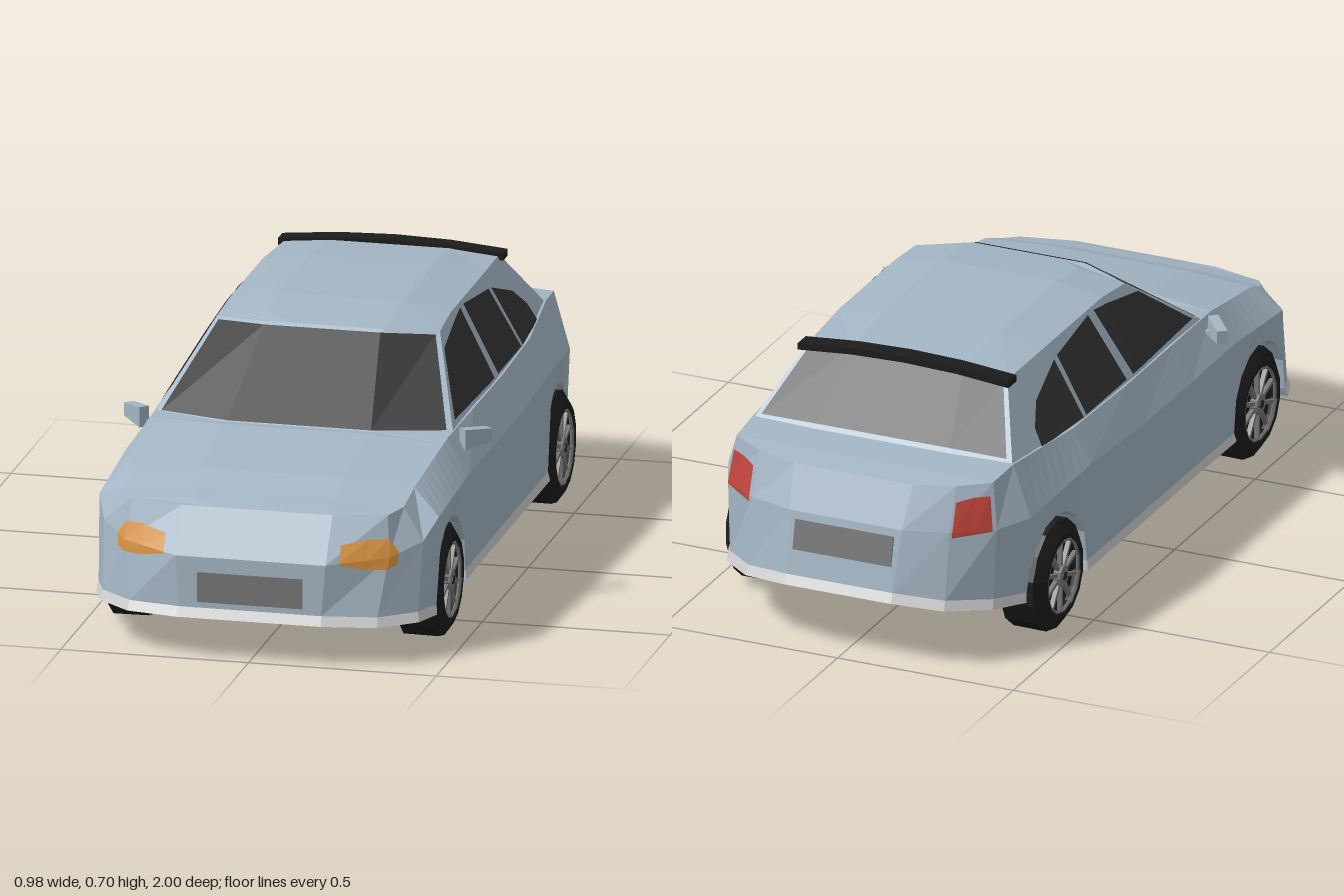
import * as THREE from 'three';

const mat = (color, side = THREE.FrontSide) =>
  new THREE.MeshStandardMaterial({ color, side, flatShading: true });
const paint = mat(0xa3b5c4), grey = mat(0xcccccc), glass = mat(0x333333, THREE.DoubleSide);
const black = mat(0x1c1c1c), metal = mat(0x777777), dark = mat(0x2a2a2a);
const amber = mat(0xd8923f, THREE.DoubleSide), red = mat(0xc0443c, THREE.DoubleSide);

const mix = (a, b, t) => a.map((v, i) => v + (b[i] - v) * t);
const flip = ([x, y, z]) => [-x, y, z];
const mirror = (rows) => rows.map((r) => r.map(flip)).reverse();
const ring = (rows) => [...rows, ...mirror(rows), rows[0]];

// Faceted skin over one or more grids of points
function skin(name, material, ...grids) {
  const p = [];
  for (const rows of grids)
    for (let i = 0; i < rows.length - 1; i++)
      for (let j = 0; j < rows[i].length - 1; j++) {
        const a = rows[i][j], b = rows[i + 1][j], c = rows[i + 1][j + 1], d = rows[i][j + 1];
        p.push(...a, ...b, ...c, ...a, ...c, ...d);
      }
  const g = new THREE.BufferGeometry();
  g.setAttribute('position', new THREE.Float32BufferAttribute(p, 3));
  g.computeVertexNormals();
  return part(name, g, material);
}

function part(name, geometry, material, x = 0, y = 0, z = 0) {
  const m = new THREE.Mesh(geometry, material);
  m.name = name;
  m.position.set(x, y, z);
  return m;
}

// Body columns down the left side: bottom, waist and shoulder points
const front = [
  [[0.19, 0.135, 0.985], [0.2, 0.27, 0.98], [0.2, 0.385, 0.905]],
  [[0.33, 0.13, 0.945], [0.35, 0.28, 0.905], [0.34, 0.385, 0.87]],
  [[0.42, 0.13, 0.87], [0.425, 0.31, 0.835], [0.37, 0.395, 0.82]],
  [[0.45, 0.13, 0.792], [0.452, 0.36, 0.775], [0.378, 0.425, 0.74]],
];
const doors = [
  [[0.45, 0.13, 0.478], [0.457, 0.388, 0.46], [0.396, 0.475, 0.45]],
  [[0.448, 0.13, 0.2], [0.46, 0.388, 0.2], [0.404, 0.483, 0.2]],
  [[0.448, 0.13, -0.1], [0.46, 0.388, -0.1], [0.408, 0.486, -0.1]],
  [[0.448, 0.13, -0.428], [0.455, 0.4, -0.42], [0.402, 0.49, -0.42]],
];
const rear = [
  [[0.42, 0.16, -0.742], [0.43, 0.37, -0.74], [0.372, 0.503, -0.72]],
  [[0.375, 0.175, -0.85], [0.383, 0.37, -0.845], [0.365, 0.495, -0.83]],
  [[0.28, 0.19, -0.943], [0.28, 0.37, -0.915], [0.28, 0.486, -0.875]],
  [[0.15, 0.205, -0.986], [0.16, 0.37, -0.95], [0.17, 0.48, -0.9]],
];
const WHEEL_Z = [0.635, -0.585], WELL_X = 0.335;

// Columns that follow a wheel arch between two plain columns
const arch = (a, b, zc) => Array.from({ length: 7 }, (_, i) => {
  const t = (i + 1) / 8, w = t * Math.PI, c = a.map((p, k) => mix(p, b[k], t));
  c[0] = [c[0][0], 0.15 + 0.17 * Math.sin(w), zc + 0.158 * Math.cos(w)];
  return c;
});
const lip = ([x, y, z]) => [x * 1.01, y - 0.025, z * 1.014];

function body(car) {
  const archF = arch(front[3], doors[0], WHEEL_Z[0]);
  const archR = arch(doors[3], rear[0], WHEEL_Z[1]);
  const cols = [...front, ...archF, ...doors, ...archR, ...rear];
  const lid = cols.map(([, , t]) => {
    const m = [t[0] * 0.5, t[1] + (t[2] > 0.45 && t[2] < 0.9 ? 0.012 : 0), t[2]];
    return [t, m, flip(m), flip(t)];
  });
  car.add(skin('bodyShell', paint, ring(cols), lid));

  // Wheel wells: arched pocket, inner wall, and the flat pan between the wheels
  [[front[3], archF, doors[0]], [doors[3], archR, rear[0]]].forEach(([a, mid, b]) => {
    const la = lip(a[0]), lb = lip(b[0]);
    const pts = [la, a[0], ...mid.map((c) => c[0]), b[0], lb];
    const base = ([, , z]) => la[1] + (lb[1] - la[1]) * (z - la[2]) / (lb[2] - la[2]);
    const pocket = pts.map((p) => [[WELL_X, p[1], p[2]], p]);
    const wall = pts.map((p) => [[WELL_X, base(p), p[2]], [WELL_X, p[1], p[2]]]);
    const pan = [la, lb].map((p) => [[-WELL_X, p[1], p[2]], [WELL_X, p[1], p[2]]]);
    car.add(skin('wheelWell', paint, pocket, mirror(pocket), wall, mirror(wall), pan));
  });

  // Floor pans with the lip and sills around them
  [['frontLip', front], ['sills', doors], ['rearLip', rear]].forEach(([name, sec]) => {
    const side = sec.map((c) => [lip(c[0]), c[0]]);
    const floor = side.map(([l]) => [flip(l), l]);
    const walls = sec === doors ? [side, mirror(side)] : [ring(side)];
    car.add(skin(name, grey, floor, ...walls));
  });

  // Lamps lie on the shell: [column, lowest, highest], level 1 being the waist
  const lamp = (name, material, sec, spans, off) => {
    const rows = spans.map(([u, lo, hi]) => [lo, 1, hi].map((v) => {
      const i = Math.min(Math.floor(u), 2), j = Math.min(Math.floor(v), 1);
      const p = mix(mix(sec[i][j], sec[i + 1][j], u - i), mix(sec[i][j + 1], sec[i + 1][j + 1], u - i), v - j);
      return [p[0] + 0.004, p[1] + 0.003, p[2] + off];
    }));
    car.add(skin(name, material, rows, mirror(rows)));
  };
  lamp('headlights', amber, front, [[0.2, 0.97, 1.38], [0.65, 0.83, 1.46], [1, 0.8, 1.44], [1.28, 0.82, 1.05]], 0.007);
  lamp('tailLights', red, rear, [[1.1, 0.98, 1.72], [1.5, 0.95, 1.72], [1.95, 0.92, 1.65]], -0.007);

  car.add(part('grille', new THREE.BoxGeometry(0.28, 0.08, 0.02), metal, 0, 0.19, 0.976));
  const plate = part('rearPanel', new THREE.BoxGeometry(0.28, 0.08, 0.012), metal, 0, 0.31, -0.961);
  plate.rotation.x = 0.21;
  car.add(plate);
}

// Leaning plane of the cabin sides, tapering to front and rear
const sideAt = (y, z, out = 0) => [
  0.402 - 0.57 * (y - 0.485) - 0.03 * Math.max(0, z) - 0.07 * Math.max(0, -z - 0.35) + out, y, z];

function cabin(car) {
  const cols = [
    [[0.2, 0.47, 0.45], [0.16, 0.674, 0.185]],
    [sideAt(0.47, 0.4), sideAt(0.662, 0.13)],
    [sideAt(0.48, 0), sideAt(0.675, 0)],
    [sideAt(0.485, -0.35), sideAt(0.675, -0.35)],
    [sideAt(0.495, -0.722), sideAt(0.665, -0.565)],
    [[0.2, 0.498, -0.728], [0.17, 0.677, -0.567]],
  ];
  const crown = [0, 0.02, 0.022, 0.02, 0.012, 0];
  const roof = cols.map(([, t], i) => {
    const m = [t[0] * 0.56, t[1] + crown[i], t[2]];
    return [t, m, flip(m), flip(t)];
  });
  car.add(skin('cabin', paint, ring(cols), roof));

  // Windscreen and rear window
  const pane = (list, lo, hi, off) => list.map(([b, t]) => [lo, hi].map((v) => {
    const p = mix(b, t, v);
    return [p[0] * 0.96, p[1] + 0.003, p[2] + off];
  }));
  const screen = pane([cols[0], cols[1]], 0.03, 0.96, 0.005);
  const back = pane([cols[4], cols[5]], 0.08, 0.97, -0.003);
  car.add(skin('windscreen', glass, [...mirror(screen), ...screen]));
  car.add(skin('rearWindow', glass, [...back, ...mirror(back)]));

  // Side windows: bottom z, top z, top y along each pane
  [['frontSideWindow', [[0.35, 0.34, 0.5], [0.17, 0.17, 0.63], [0, 0, 0.66], [-0.04, -0.07, 0.668]]],
    ['rearSideWindow', [[-0.08, -0.105, 0.668], [-0.33, -0.325, 0.645]]],
    ['quarterWindow', [[-0.347, -0.347, 0.642], [-0.5, -0.5, 0.59], [-0.57, -0.56, 0.54]]],
  ].forEach(([name, list]) => {
    const rows = list.map(([zb, zt, yt]) => [sideAt(0.494, zb, 0.004), sideAt(yt, zt, 0.004)]);
    car.add(skin(name, glass, rows, mirror(rows)));
  });

  // Spoiler drops towards its ends with the roof
  const g = new THREE.BoxGeometry(0.6, 0.018, 0.05, 4, 1, 1), p = g.attributes.position;
  for (let i = 0; i < p.count; i++) p.setY(i, p.getY(i) - 0.2 * p.getX(i) ** 2);
  car.add(part('spoiler', g, black, 0, 0.682, -0.569));
}

function wheel(x, z) {
  const w = new THREE.Group();
  w.name = 'wheel';
  const profile = [[0, -0.06], [0.149, -0.06], [0.15, 0.033], [0.118, 0.056], [0.103, 0.056], [0.098, 0.036], [0, 0.036]]
    .map(([r, h]) => new THREE.Vector2(r, h));
  w.add(part('tyre', new THREE.LatheGeometry(profile, 14, Math.PI / 2), black));
  const rim = part('rim', new THREE.TorusGeometry(0.098, 0.005, 4, 14), metal, 0, 0.05, 0);
  rim.rotation.x = Math.PI / 2;
  w.add(rim, part('hub', new THREE.CylinderGeometry(0.028, 0.032, 0.02, 10), metal, 0, 0.045, 0),
    part('hubCap', new THREE.CylinderGeometry(0.012, 0.012, 0.004, 8), dark, 0, 0.056, 0));
  for (let i = 0; i < 10; i++) {
    const a = (i / 10) * Math.PI * 2;
    const s = part('spoke', new THREE.BoxGeometry(0.075, 0.012, 0.01), metal, 0.06 * Math.cos(a), 0.043, -0.06 * Math.sin(a));
    s.rotation.y = a;
    w.add(s);
  }
  w.rotation.z = -Math.sign(x) * Math.PI / 2;
  w.position.set(x, 0.15, z);
  return w;
}

// Door mirror: housing narrows towards its outer end
function doorMirror(s) {
  const m = new THREE.Group();
  m.name = 'doorMirror';
  const g = new THREE.BoxGeometry(0.085, 0.055, 0.028), p = g.attributes.position;
  for (let i = 0; i < p.count; i++)
    if (p.getX(i) * s > 0) p.setY(i, p.getY(i) * 0.65);
  const housing = part('mirrorHousing', g, paint, s * 0.452, 0.46, 0.372);
  housing.rotation.y = s * 0.85;
  const stem = part('mirrorStem', new THREE.BoxGeometry(0.04, 0.014, 0.025), paint, s * 0.422, 0.446, 0.388);
  stem.rotation.z = s * 0.2;
  m.add(housing, stem);
  return m;
}

export function createModel() {
  const car = new THREE.Group();
  car.name = 'car';
  body(car);
  cabin(car);
  for (const s of [1, -1]) {
    for (const z of WHEEL_Z) car.add(wheel(s * 0.4, z));
    car.add(doorMirror(s));
  }
  return car;
}
